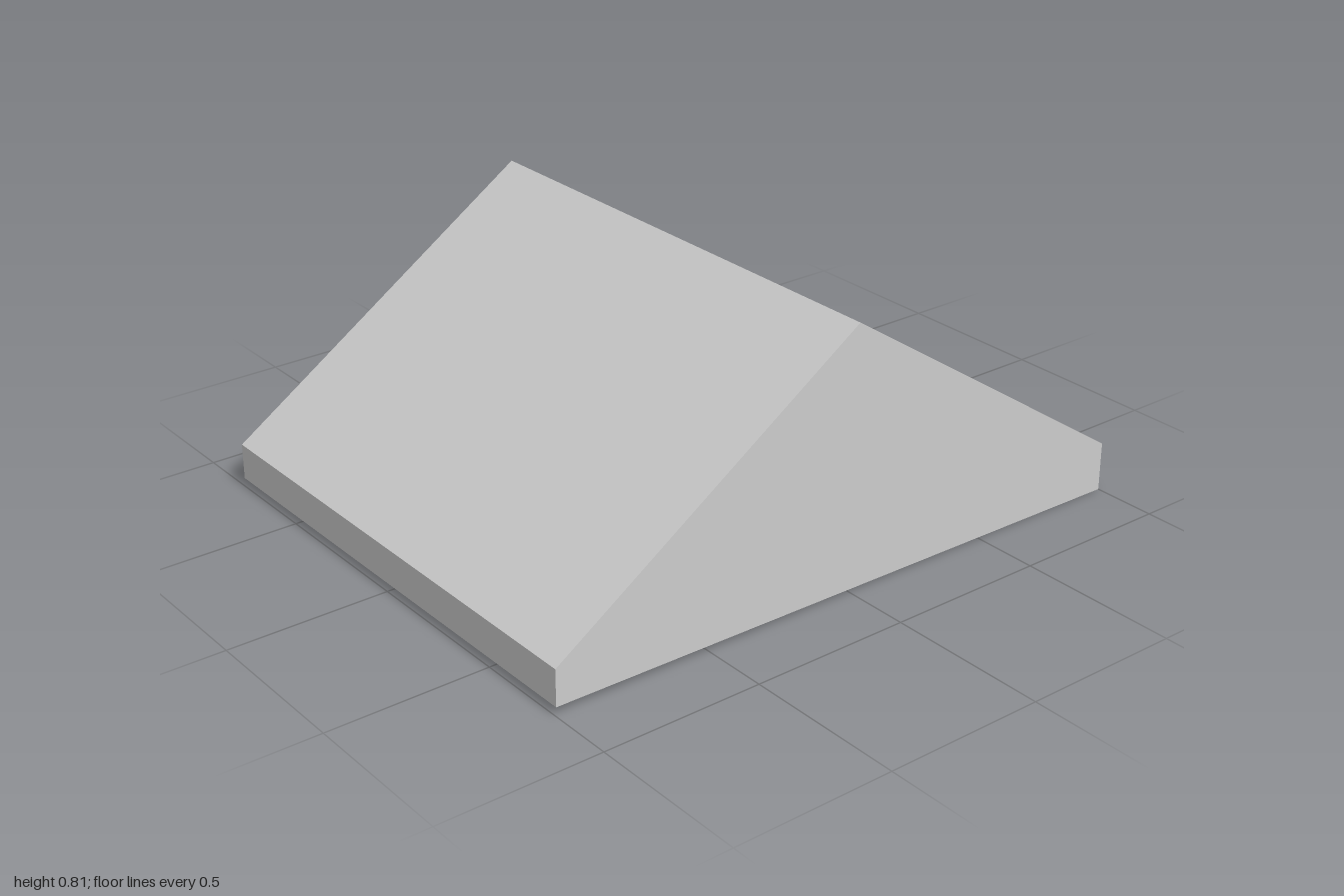
import * as THREE from 'three';

const HALF_X = 1, HALF_Z = 0.8, END = 0.04;
const SLOT_CENTRES = [-0.89, -0.655, -0.42, -0.185, 0.185, 0.42, 0.655, 0.89];
const SLOT_HALF = 0.052, SLOT_DEPTH = 0.12;

// The underside is slightly tilted
const baseY = (x) => 0.015 - 0.013 * x;

// Gable cross-section, optionally with grooves cut up into the underside
function gableShape(grooved) {
  const s = new THREE.Shape();
  s.moveTo(-HALF_X, baseY(-HALF_X));
  if (grooved) {
    for (const c of SLOT_CENTRES) {
      const a = c - SLOT_HALF, b = c + SLOT_HALF;
      s.lineTo(a, baseY(a));
      s.lineTo(a, baseY(a) + SLOT_DEPTH);
      s.lineTo(b, baseY(b) + SLOT_DEPTH);
      s.lineTo(b, baseY(b));
    }
  }
  s.lineTo(HALF_X, 0);
  s.lineTo(HALF_X, 0.153);
  s.lineTo(0, 0.815);
  s.lineTo(-HALF_X, 0.14);
  s.closePath();
  return s;
}

export function createModel() {
  const group = new THREE.Group();
  group.name = 'gableRoof';
  const material = new THREE.MeshStandardMaterial({ color: 0xcccccc, flatShading: true });

  function addSection(name, grooved, z, depth) {
    const geometry = new THREE.ExtrudeGeometry(gableShape(grooved), { depth, bevelEnabled: false });
    const mesh = new THREE.Mesh(geometry, material);
    mesh.name = name;
    mesh.position.z = z;
    group.add(mesh);
  }

  // Grooved roof body closed by a solid gable at each end
  addSection('roofBody', true, -HALF_Z + END, 2 * (HALF_Z - END));
  addSection('frontGable', false, HALF_Z - END, END);
  addSection('backGable', false, -HALF_Z, END);

  // Eight cross bars running through the grooves
  const barGeometry = new THREE.BoxGeometry(1.88, 0.035, 0.05);
  for (let i = 0; i < 8; i++) {
    const bar = new THREE.Mesh(barGeometry, material);
    bar.name = 'crossBar';
    bar.position.set(0, baseY(0) + 0.095, (i - 3.5) * 0.183);
    bar.rotation.z = -Math.atan(0.013);
    group.add(bar);
  }
  return group;
}
